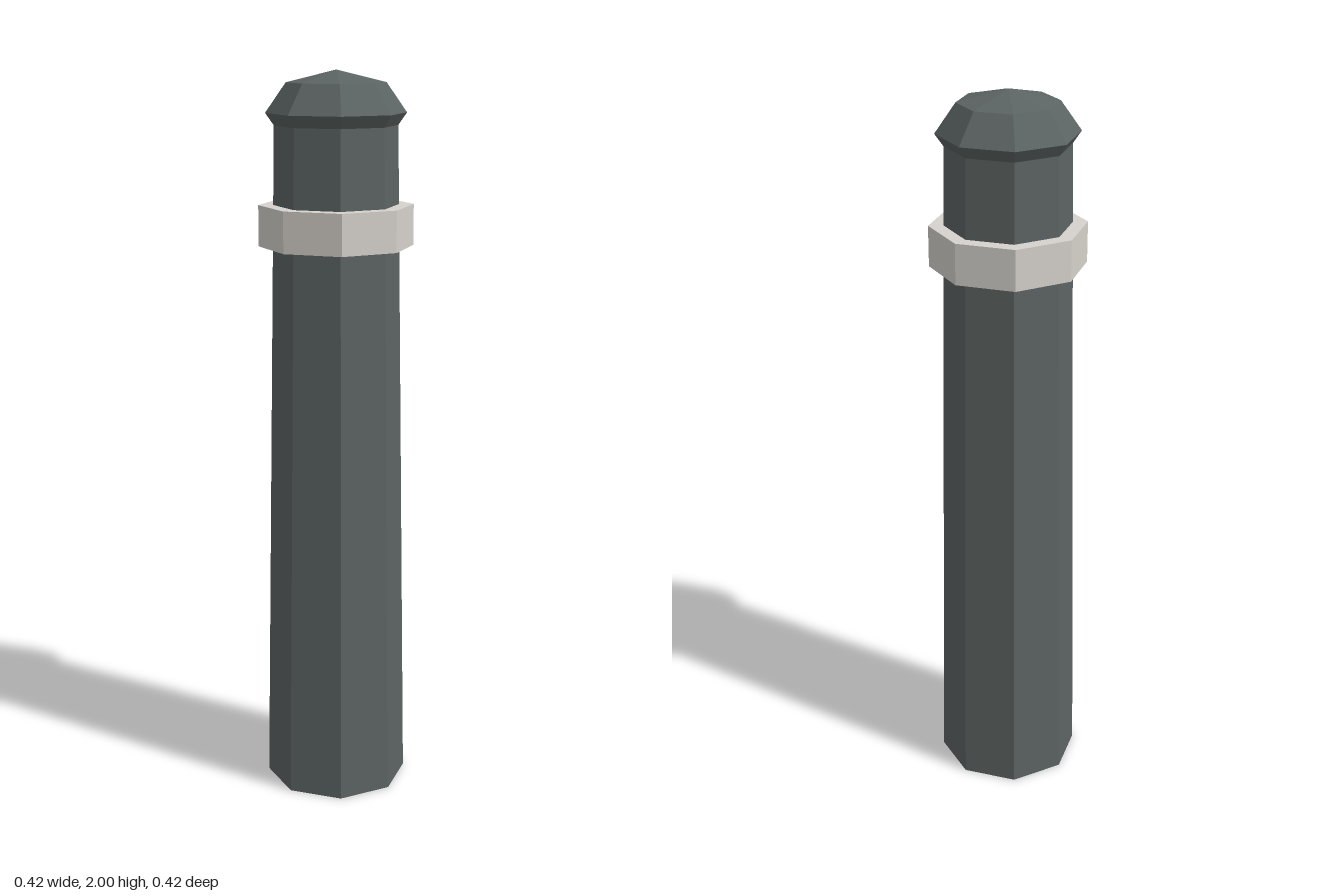
import * as THREE from 'three';

export function createModel() {
  const model = new THREE.Group();
  model.name = 'bollard';

  const iron = new THREE.MeshStandardMaterial({ color: 0x5c6463, flatShading: true });
  iron.name = 'dark iron';
  const paint = new THREE.MeshStandardMaterial({ color: 0xd6d2cc, flatShading: true });
  paint.name = 'pale band';

  const SIDES = 8;

  const add = (name, geometry, material, y) => {
    const mesh = new THREE.Mesh(geometry, material);
    mesh.name = name;
    mesh.position.y = y;
    model.add(mesh);
    return mesh;
  };

  // Tapered octagonal post
  add('post', new THREE.CylinderGeometry(0.164, 0.198, 1.88, SIDES), iron, 0.94);

  // Collar around the upper post
  add('collar', new THREE.CylinderGeometry(0.208, 0.208, 0.11, SIDES), paint, 1.595);

  // Flattened, faceted dome on top
  const dome = new THREE.SphereGeometry(0.187, SIDES, 4);
  dome.scale(1, 0.11 / 0.187, 1);
  add('domeCap', dome, iron, 1.89);

  return model;
}
